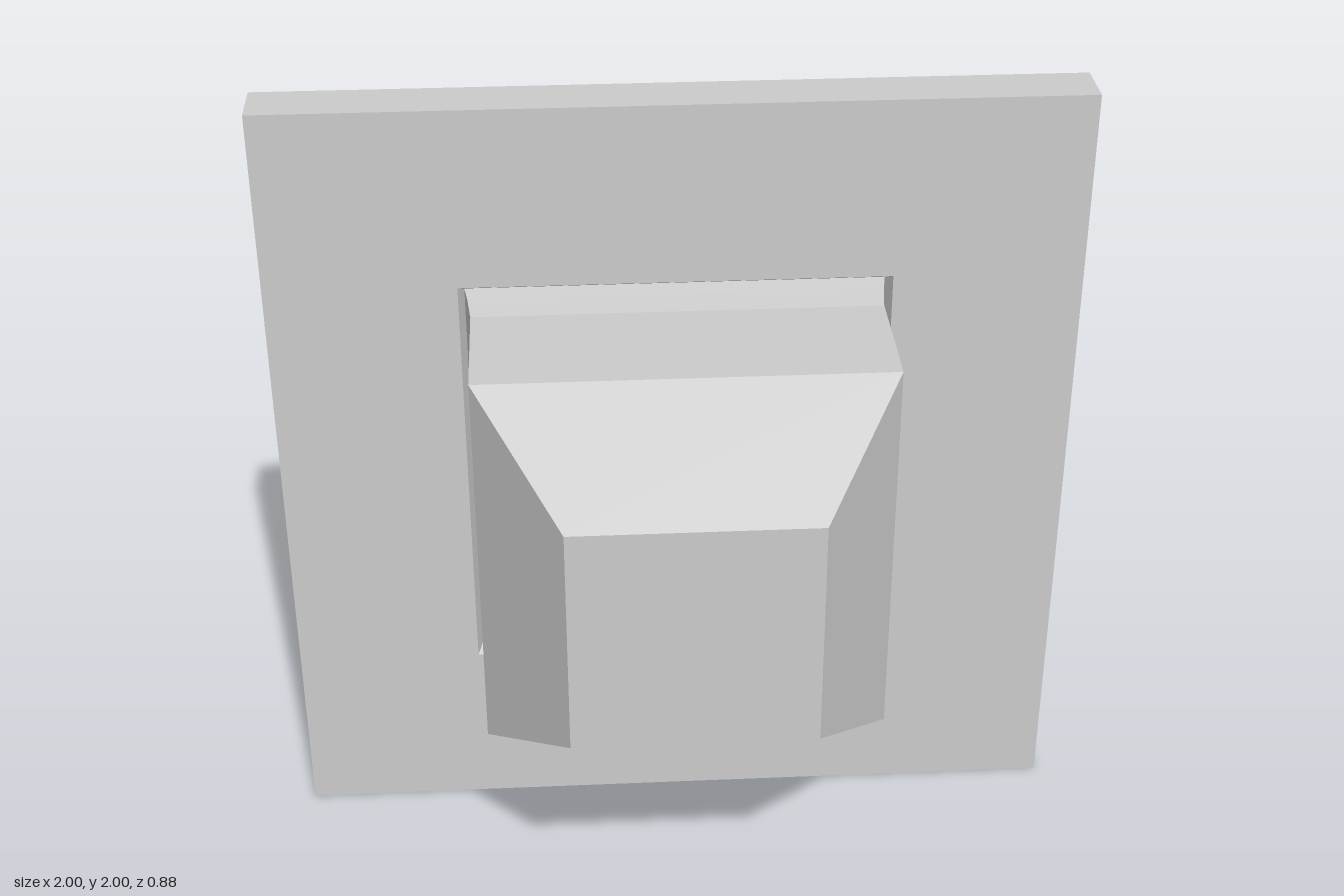
import * as THREE from 'three';

// Joins rectangular rings [halfWidth, halfHeight, z] into a flat-sided skin
function loftRings(rings, { capBack = false, capFront = false }) {
  const corners = rings.map(([w, h, z]) => [
    [-w, 1 - h, z], [w, 1 - h, z], [w, 1 + h, z], [-w, 1 + h, z],
  ]);
  const positions = [];
  const quad = (a, b, c, d) => positions.push(...a, ...b, ...c, ...a, ...c, ...d);

  for (let r = 0; r < corners.length - 1; r++) {
    const back = corners[r], front = corners[r + 1];
    for (let i = 0; i < 4; i++) {
      const j = (i + 1) % 4;
      quad(back[i], back[j], front[j], front[i]);
    }
  }
  if (capBack) quad(...[...corners[0]].reverse());
  if (capFront) quad(...corners[corners.length - 1]);

  const geometry = new THREE.BufferGeometry();
  geometry.setAttribute('position', new THREE.Float32BufferAttribute(positions, 3));
  geometry.computeVertexNormals();
  return geometry;
}

export function createModel() {
  const group = new THREE.Group();
  group.name = 'wallButton';
  const material = new THREE.MeshStandardMaterial({ color: 0xcccccc, flatShading: true });

  const grooveBottom = [0.515, 0.522, -0.34];

  // Square backing plate with a shallow V groove cut around the block
  const plate = new THREE.Mesh(loftRings([
    [1, 1, -0.44],
    [1, 1, -0.3],
    [0.53, 0.543, -0.3],
    grooveBottom,
  ], { capBack: true }), material);
  plate.name = 'backPlate';

  // Raised block: flared foot, straight sides, tapered front
  const block = new THREE.Mesh(loftRings([
    grooveBottom,
    [0.508, 0.513, -0.3],
    [0.5, 0.5, -0.23],
    [0.5, 0.5, 0.105],
    [0.295, 0.295, 0.44],
  ], { capFront: true }), material);
  block.name = 'raisedBlock';

  group.add(plate, block);
  return group;
}
